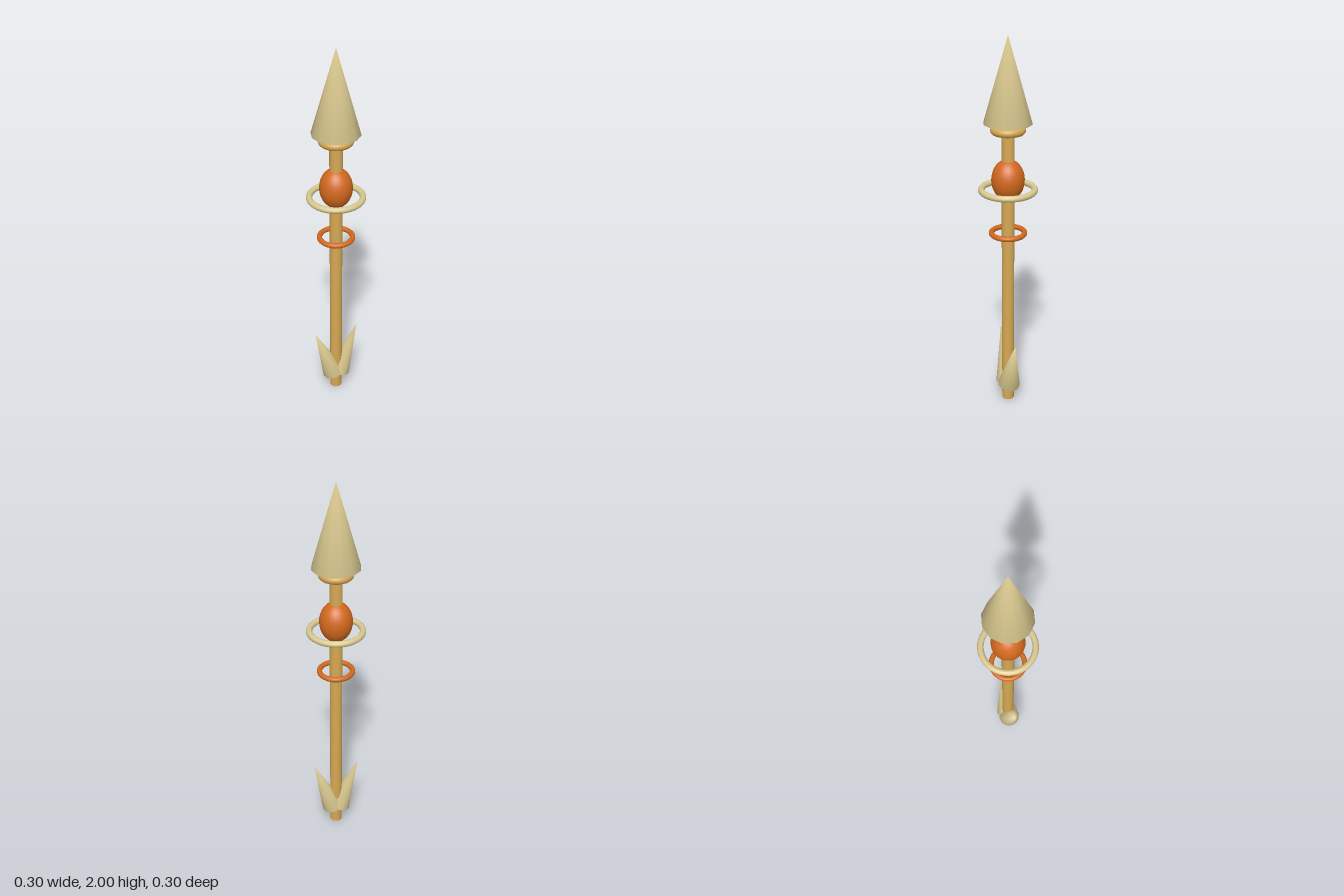
import * as THREE from 'three';
import { mergeVertices } from 'three/addons/utils/BufferGeometryUtils.js';

const material = (name, color) => {
  const m = new THREE.MeshStandardMaterial({ color });
  m.name = name;
  return m;
};

// Weld all vertices so that normals blend softly across every edge
function soften(geometry) {
  geometry.deleteAttribute('uv');
  geometry.deleteAttribute('normal');
  const welded = mergeVertices(geometry, 1e-5);
  welded.computeVertexNormals();
  return welded;
}

export function createModel() {
  const model = new THREE.Group();
  model.name = 'spear';

  const bone = material('pale bone', 0xd9c88f);
  const wood = material('golden wood', 0xd6a954);
  const orange = material('burnt orange', 0xd2691e);

  const add = (name, geometry, mat, y) => {
    const mesh = new THREE.Mesh(geometry, mat);
    mesh.name = name;
    mesh.position.y = y;
    model.add(mesh);
    return mesh;
  };
  const ring = (name, radius, tube, mat, y) =>
    add(name, new THREE.TorusGeometry(radius, tube, 12, 40).rotateX(Math.PI / 2), mat, y);

  // Shaft and point
  add('shaft', soften(new THREE.CylinderGeometry(0.033, 0.033, 1.58, 12)), wood, 0.79);
  add('spearhead', soften(new THREE.ConeGeometry(0.122, 0.42, 12)), bone, 1.79);

  // Collar, egg-shaped bead and floating rings
  ring('collar', 0.067, 0.021, wood, 1.546);
  add('bead', new THREE.SphereGeometry(0.084, 24, 16).scale(1, 1.27, 1), orange, 1.29);
  ring('largeRing', 0.134, 0.016, bone, 1.238);
  ring('smallRing', 0.085, 0.0135, orange, 1.003);

  // Pair of barbs splayed outwards at the foot
  const barbLength = 0.313;
  const tilt = 0.34;
  for (const side of [1, -1]) {
    const geometry = soften(new THREE.ConeGeometry(0.061, barbLength, 12));
    geometry.translate(0, barbLength / 2, 0);
    const barb = add(side > 0 ? 'leftBarb' : 'rightBarb', geometry, bone, 0.1);
    barb.position.x = side * 0.0175;
    barb.rotation.z = -side * tilt;
  }

  return model;
}
